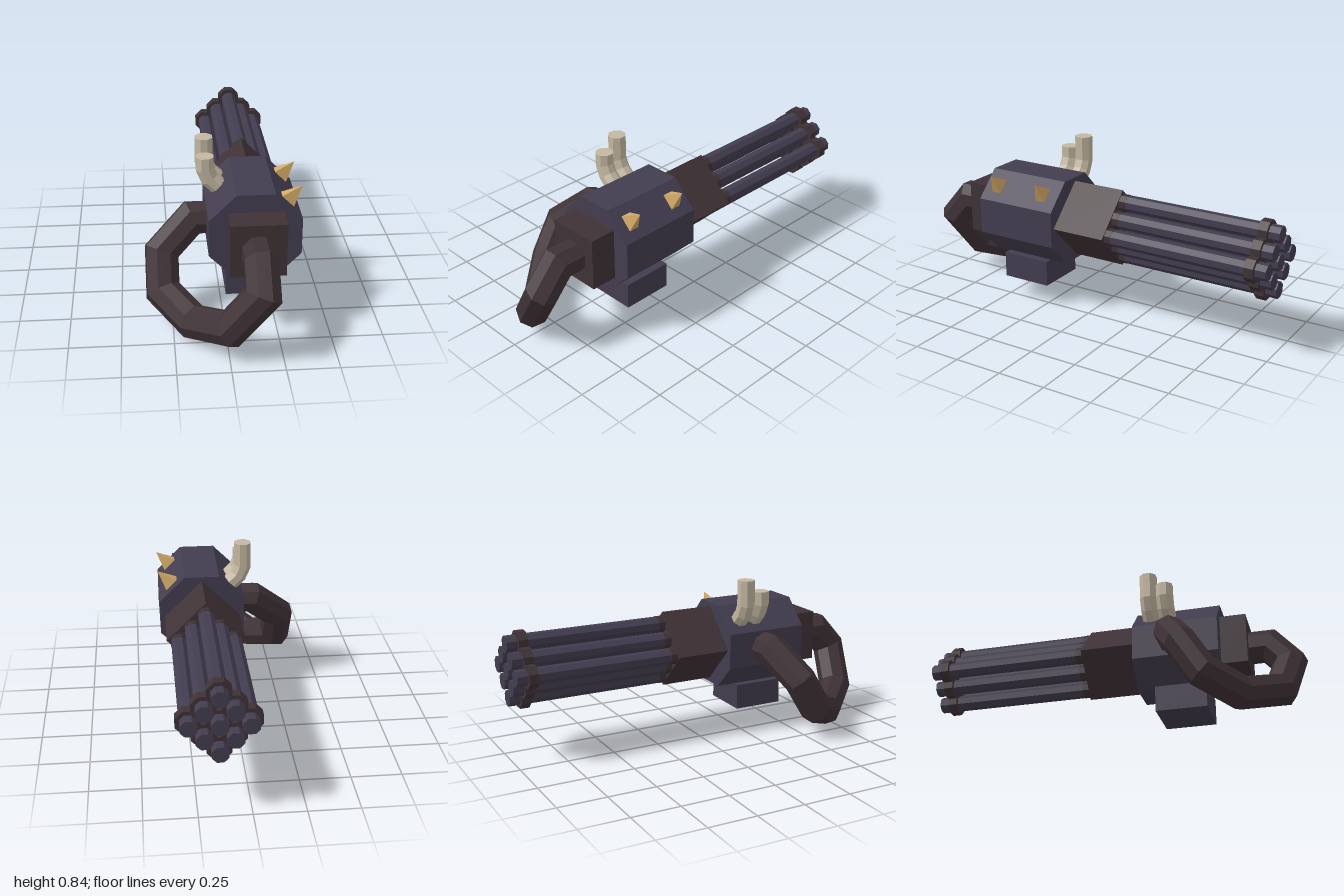
import * as THREE from 'three';

const mat = (color) => new THREE.MeshStandardMaterial({ color, flatShading: true });
const CX = 0.147, CY = 0.468; // axis of the gun

// Faceted tube along straight segments, with mitred corners and closed ends
function mitredTube(points, radius, sides) {
  const pts = points.map((p) => new THREE.Vector3(...p));
  const dirs = pts.slice(1).map((p, i) => p.clone().sub(pts[i]).normalize());
  const helper = Math.abs(dirs[0].y) > 0.9 ? new THREE.Vector3(0, 0, 1) : new THREE.Vector3(0, 1, 0);
  const u = new THREE.Vector3().crossVectors(helper, dirs[0]).normalize();
  const v = new THREE.Vector3().crossVectors(dirs[0], u);
  let ring = [];
  for (let k = 0; k < sides; k++) {
    const a = ((k + 0.5) / sides) * Math.PI * 2;
    ring.push(pts[0].clone().addScaledVector(u, radius * Math.cos(a)).addScaledVector(v, radius * Math.sin(a)));
  }
  const rings = [ring];
  for (let i = 1; i < pts.length; i++) {
    const d = dirs[i - 1];
    const n = d.clone().add(dirs[i] ?? d).normalize();
    ring = ring.map((q) => q.clone().addScaledVector(d, pts[i].clone().sub(q).dot(n) / d.dot(n)));
    rings.push(ring);
  }
  const position = [...rings.flat(), pts[0], pts[pts.length - 1]].flatMap((p) => [p.x, p.y, p.z]);
  const index = [];
  const last = (rings.length - 1) * sides, c0 = rings.length * sides;
  for (let k = 0; k < sides; k++) {
    const k2 = (k + 1) % sides;
    for (let i = 0; i < rings.length - 1; i++) {
      const a = i * sides + k, b = i * sides + k2;
      index.push(a, b, b + sides, a, b + sides, a + sides);
    }
    index.push(c0, k2, k, c0 + 1, last + k, last + k2);
  }
  const geo = new THREE.BufferGeometry();
  geo.setAttribute('position', new THREE.Float32BufferAttribute(position, 3));
  geo.setIndex(index);
  geo.computeVertexNormals();
  return geo;
}

// Prism along z with a flat side facing up
function prismZ(radius, z0, z1, sides) {
  return new THREE.CylinderGeometry(radius, radius, z1 - z0, sides)
    .rotateY(Math.PI / sides).rotateX(Math.PI / 2).translate(0, 0, (z0 + z1) / 2);
}

export function createModel() {
  const group = new THREE.Group();
  const steel = mat(0x433d4f), brown = mat(0x3f3236), bone = mat(0xc4b8a2), gold = mat(0xd2a968);
  const add = (name, geo, material, x = 0, y = 0, z = 0, parent = group) => {
    const mesh = new THREE.Mesh(geo, material);
    mesh.name = name;
    mesh.position.set(x, y, z);
    parent.add(mesh);
    return mesh;
  };

  // Octagonal body, diamond barrel housing, rear block and lower box
  add('body', prismZ(0.222 / Math.cos(Math.PI / 8), 0.14, 0.585, 8), steel, CX, CY);
  add('barrelHousing', new THREE.BoxGeometry(0.283, 0.283, 0.29).rotateZ(Math.PI / 4), brown, CX, CY + 0.002, 0);
  add('rearBlock', new THREE.BoxGeometry(0.266, 0.266, 0.15), brown, CX, CY, 0.645);
  add('ammoBox', new THREE.BoxGeometry(0.266, 0.134, 0.266), steel, CX, 0.18, 0.37);

  // Nine barrels in a diamond grid, each with a collar and a muzzle band
  const barrels = new THREE.Group();
  barrels.name = 'barrels';
  group.add(barrels);
  const step = 0.098 / Math.SQRT2;
  for (let i = -1; i <= 1; i++) {
    for (let j = -1; j <= 1; j++) {
      const x = CX + (i + j) * step, y = CY + (i - j) * step;
      add('barrel', prismZ(0.042, -1, -0.1, 8), steel, x, y, 0, barrels);
      add('muzzleBand', prismZ(0.062, -0.945, -0.897, 8), brown, x, y, 0, barrels);
      add('barrelCollar', prismZ(0.0435, -0.18, -0.13, 8), brown, x, y, 0, barrels);
    }
  }

  // Hose looping from the rear block round to the side of the body
  add('hose', mitredTube([
    [CX, 0.465, 0.65], [CX, 0.465, 0.82], [CX, 0.355, 0.918], [0.005, 0.155, 0.875],
    [-0.158, 0.09, 0.7], [-0.295, 0.167, 0.535], [-0.295, 0.33, 0.435],
    [-0.142, 0.468, 0.355], [0, 0.468, 0.355],
  ], 0.084, 8), brown);

  // Two bent exhaust pipes
  for (const [top, z] of [[0.843, 0.232], [0.777, 0.318]]) {
    add('exhaustPipe', mitredTube([
      [0.06, 0.552, z], [-0.052, 0.66, z], [-0.075, 0.713, z], [-0.075, top, z],
    ], 0.046, 8), bone);
  }

  // Two pyramid spikes on the upper bevel
  for (const z of [0.23, 0.505]) {
    const spike = new THREE.ConeGeometry(Math.SQRT1_2, 0.12, 4).rotateY(Math.PI / 4)
      .scale(0.096, 1, 0.064).translate(0, 0.05, 0).rotateZ(-Math.PI / 4);
    add('spike', spike, gold, 0.297, 0.617, z);
  }
  return group;
}
